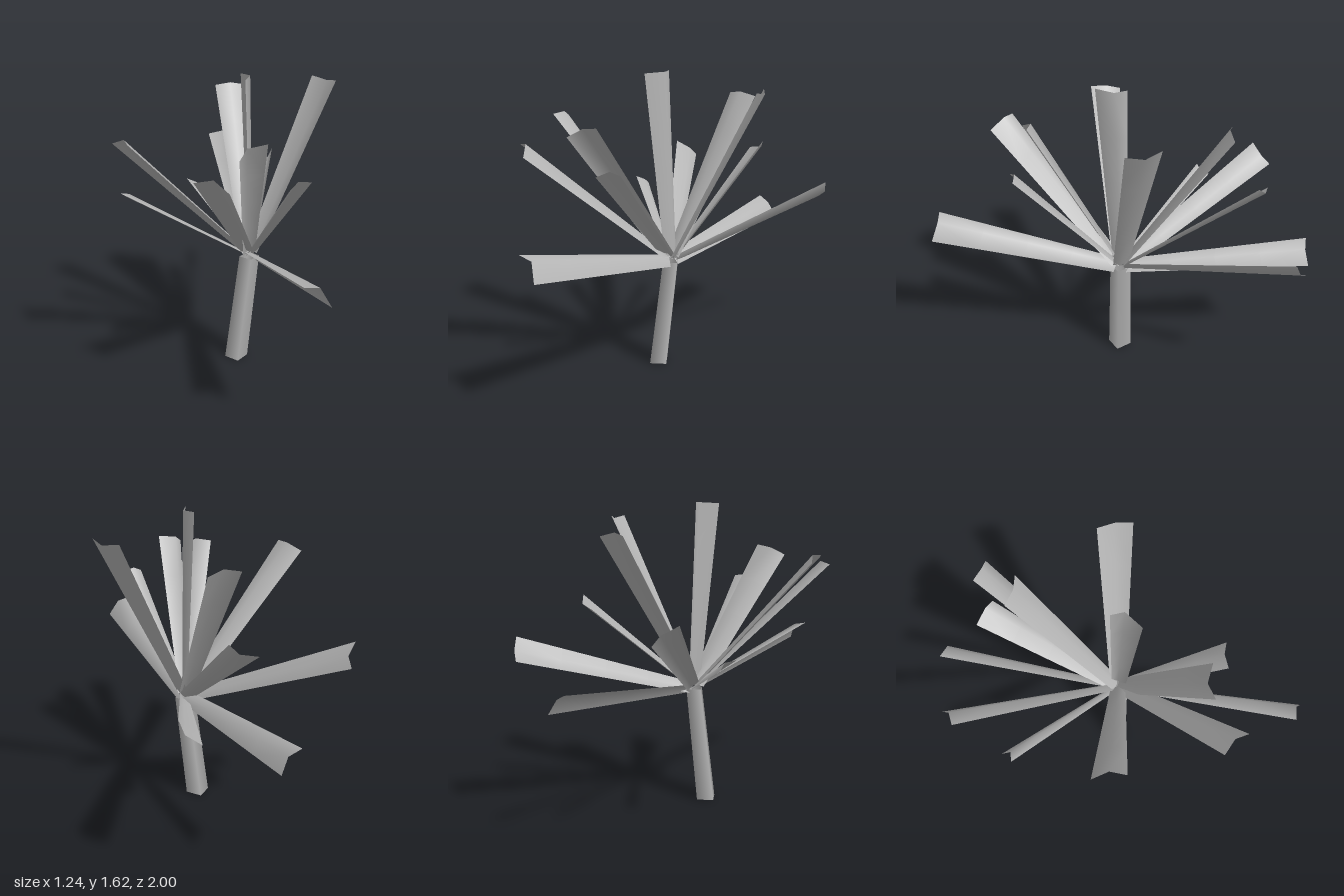
import * as THREE from 'three';

const trunkBase = new THREE.Vector3(0.035, 0, 0);
const crown = new THREE.Vector3(0.112, 0.615, 0);

// Tip of every leaf: one edge, the folded midrib, the other edge
const leafTips = [
  [[-0.62, 1.33, -0.03], [-0.58, 1.365, 0.05], [-0.585, 1.36, 0.135]],
  [[-0.41, 1.285, 0.57], [-0.33, 1.3, 0.61], [-0.28, 1.25, 0.68]],
  [[-0.16, 1.335, 0.5], [-0.1, 1.375, 0.45], [0, 1.39, 0.465]],
  [[0.03, 1.62, 0.12], [0.095, 1.625, 0.03], [0.07, 1.625, -0.035]],
  [[0.13, 1.46, -0.55], [0.21, 1.475, -0.52], [0.3, 1.455, -0.53]],
  [[0.55, 1.555, -0.165], [0.6, 1.54, -0.085], [0.605, 1.555, 0.005]],
  [[0.62, 0.96, -0.81], [0.605, 0.895, -0.84], [0.545, 0.85, -0.885]],
  [[0.07, 1.18, 0.56], [0.13, 1.21, 0.53], [0.2, 1.2, 0.535]],
  [[-0.48, 0.905, -0.475], [-0.425, 0.89, -0.49], [-0.435, 0.86, -0.54]],
  [[-0.05, 0.885, 0.965], [0.03, 0.87, 0.965], [0.075, 0.78, 1]],
  [[0.28, 1.18, -0.675], [0.25, 1.14, -0.715], [0.16, 1.12, -0.745]],
  [[-0.38, 1.09, -0.77], [-0.305, 1.045, -0.81], [-0.29, 1, -0.855]],
  [[0.1, 0.76, -1], [0.165, 0.73, -0.985], [0.21, 0.655, -1]],
];

// A folded strip that narrows towards the crown
function leafGeometry(tip) {
  const points = tip.map((p) => new THREE.Vector3(...p));
  const centre = points[0].clone().add(points[2]).multiplyScalar(0.5);
  const root = crown.clone().lerp(centre, 0.03);
  const steps = 4, positions = [], index = [];
  for (let i = 0; i <= steps; i++) {
    const t = i / steps;
    const middle = root.clone().lerp(centre, t);
    for (const p of points) {
      const v = p.clone().sub(centre).multiplyScalar(0.5 + 0.5 * t).add(middle);
      positions.push(v.x, v.y, v.z);
    }
    if (i === steps) break;
    for (let j = 0; j < 2; j++) {
      const a = i * 3 + j;
      index.push(a, a + 1, a + 3, a + 1, a + 4, a + 3);
    }
  }
  const g = new THREE.BufferGeometry();
  g.setAttribute('position', new THREE.Float32BufferAttribute(positions, 3));
  g.setIndex(index);
  g.computeVertexNormals();
  return g;
}

// Open four-sided stem leaning towards the crown
function trunkGeometry() {
  const height = crown.y;
  const g = new THREE.CylinderGeometry(0.055, 0.064, height, 4, 1, true, -0.244);
  g.translate(0, height / 2, 0);
  const p = g.attributes.position;
  for (let i = 0; i < p.count; i++) {
    p.setX(i, p.getX(i) + THREE.MathUtils.lerp(trunkBase.x, crown.x, p.getY(i) / height));
  }
  return g;
}

export function createModel() {
  const grey = new THREE.MeshStandardMaterial({ color: 0xb4b4b4, side: THREE.DoubleSide });
  grey.name = 'plain grey';
  const model = new THREE.Group();
  model.name = 'plant';

  const trunk = new THREE.Mesh(trunkGeometry(), grey);
  trunk.name = 'trunk';
  model.add(trunk);

  const leaves = new THREE.Group();
  leaves.name = 'leaves';
  leafTips.forEach((tip, i) => {
    const leaf = new THREE.Mesh(leafGeometry(tip), grey);
    leaf.name = `leaf ${i + 1}`;
    leaves.add(leaf);
  });
  model.add(leaves);
  return model;
}
